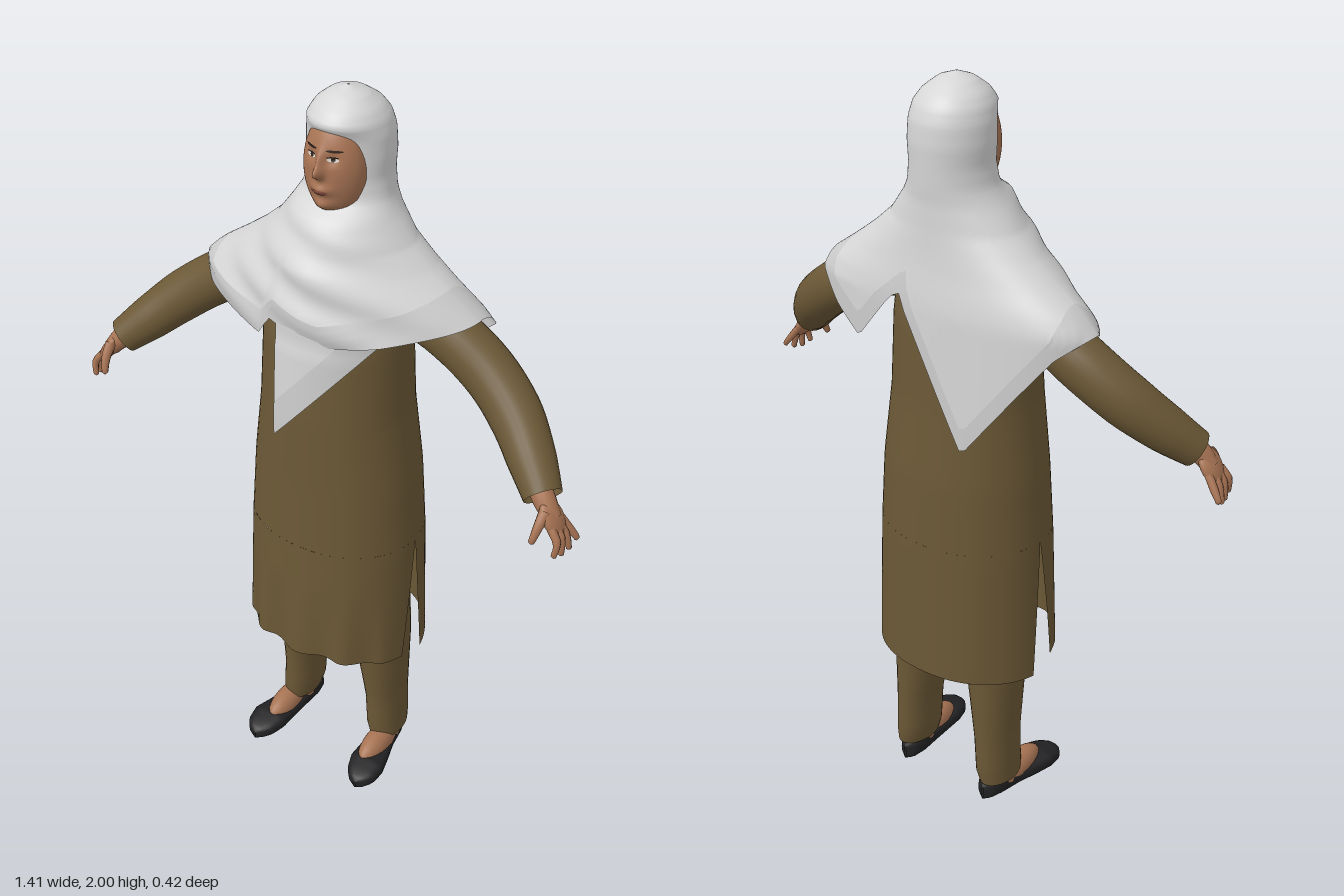
import * as THREE from 'three';

const paint = (name, color) => {
  const m = new THREE.MeshStandardMaterial({ color, side: THREE.DoubleSide });
  m.name = name;
  return m;
};

// Grid surface from a rule fn(u, v) -> [x, y, z]; closed joins the u ends
function grid(fn, nu, nv, closed = false) {
  const pos = [], idx = [], cols = closed ? nu : nu + 1;
  for (let j = 0; j <= nv; j++)
    for (let i = 0; i < cols; i++) pos.push(...fn(i / nu, j / nv));
  for (let j = 0; j < nv; j++)
    for (let i = 0; i < nu; i++) {
      const a = j * cols + i, b = j * cols + (i + 1) % cols;
      idx.push(a, a + cols, b, b, a + cols, b + cols);
    }
  const g = new THREE.BufferGeometry();
  g.setAttribute('position', new THREE.Float32BufferAttribute(pos, 3));
  g.setIndex(idx);
  g.computeVertexNormals();
  return g;
}

// Linear lookup of column k in a table sorted by its rising first column
function look(table, t, k = 1) {
  if (t <= table[0][0]) return table[0][k];
  for (let i = 1; i < table.length; i++) {
    const a = table[i - 1], b = table[i];
    if (t <= b[0]) return a[k] + (b[k] - a[k]) * (t - a[0]) / (b[0] - a[0]);
  }
  return table[table.length - 1][k];
}

// Round limb along a smooth path with varying radius
function limb(points, radii, seg = 16, sides = 16) {
  const curve = new THREE.CatmullRomCurve3(points.map(p => new THREE.Vector3(...p)));
  const f = curve.computeFrenetFrames(seg);
  const table = radii.map((r, i) => [i / (radii.length - 1), r]);
  return grid((u, v) => {
    const i = Math.round(v * seg), a = -u * Math.PI * 2, r = look(table, v);
    return curve.getPoint(v).addScaledVector(f.normals[i], r * Math.cos(a))
      .addScaledVector(f.binormals[i], r * Math.sin(a)).toArray();
  }, sides, seg, true);
}

// Gown sections: y, half width, front z, back z
const GOWN = [[0.42, 0.247, 0.215, -0.21], [0.8, 0.236, 0.19, -0.2], [1, 0.222, 0.18, -0.193],
  [1.2, 0.197, 0.174, -0.174], [1.4, 0.188, 0.16, -0.165], [1.5, 0.18, 0.13, -0.145],
  [1.57, 0.13, 0.09, -0.12], [1.64, 0.05, 0.03, -0.07]];
function gownPoint(a, y) {
  const rx = look(GOWN, y, 1), zf = look(GOWN, y, 2), zb = look(GOWN, y, 3);
  const c = Math.cos(a), s = Math.sin(a);
  const low = Math.max(0, (0.7 - y) / 0.28);
  const fold = s > 0 ? 0.012 * low * s * (Math.cos(a * 12) - 1) : 0;
  return [rx * Math.sign(c) * Math.abs(c) ** 0.9, y, s * (s > 0 ? zf : -zb) + fold];
}

// Scarf sections: y, half width, middle z, front z, back z, front and back roundness
const SCARF = [[1.1, 0.41, -0.04, 0.172, -0.183, 1.5, 2.4], [1.46, 0.41, -0.04, 0.172, -0.178, 1.5, 2.4],
  [1.5, 0.37, -0.04, 0.167, -0.173, 1.5, 2.4], [1.55, 0.3, -0.04, 0.157, -0.165, 1.6, 2.3],
  [1.6, 0.235, -0.04, 0.145, -0.16, 1.7, 2.2], [1.65, 0.18, -0.04, 0.125, -0.157, 1.8, 2],
  [1.715, 0.132, -0.04, 0.088, -0.155, 2, 2], [1.75, 0.112, -0.045, 0.04, -0.158, 2, 2],
  [1.8, 0.104, -0.05, 0.035, -0.16, 2, 2], [1.85, 0.107, -0.05, 0.035, -0.162, 2, 2],
  [1.9, 0.104, -0.05, 0.04, -0.158, 2, 2], [1.935, 0.094, -0.05, 0.06, -0.145, 2, 2],
  [1.96, 0.077, -0.045, 0.04, -0.125, 2, 2], [1.985, 0.046, -0.04, 0.004, -0.088, 2, 2],
  [2, 0.002, -0.04, -0.038, -0.042, 2, 2]];
function scarfPoint(a, y) {
  const [rx, zc, zf, zb, nf, nb] = [1, 2, 3, 4, 5, 6].map(k => look(SCARF, y, k));
  const c = Math.cos(a), s = Math.sin(a), e = 2 / (s > 0 ? nf : nb);
  const x = rx * Math.sign(c) * Math.abs(c) ** e;
  const drape = y < 1.74 && s > 0 ? 0.006 * s * Math.sin(y * 60 + x * 14) * Math.min(1, (1.74 - y) * 15) : 0;
  return [x, y, zc + Math.sign(s) * Math.abs(s) ** e * (s > 0 ? zf - zc : zc - zb) + drape];
}

// Hem height of the scarf by x, in front and behind
const HEM_FRONT = [[-0.41, 1.46], [-0.36, 1.41], [-0.13, 1.405], [-0.1, 1.455], [0.05, 1.43], [0.41, 1.505]];
const HEM_BACK = [[-0.41, 1.46], [-0.35, 1.41], [-0.12, 1.11], [0.08, 1.49], [0.21, 1.33], [0.3, 1.39], [0.41, 1.505]];
const hem = a => look(Math.sin(a) >= 0 ? HEM_FRONT : HEM_BACK, scarfPoint(a, 1.2)[0]);

// Face relief: depth of the skin at (x, y)
const bump = (x, y, cx, cy, sx, sy) => Math.exp(-(((x - cx) / sx) ** 2) - ((y - cy) / sy) ** 2);
function faceZ(x, y) {
  const d = Math.min(1, (x / 0.08) ** 2 + ((y - 1.825) / 0.13) ** 2);
  return 0.078 * Math.sqrt(1 - d) + 0.026 * bump(x, y, 0, 1.835, 0.011, 0.015)
    + 0.012 * bump(x, y, 0, 1.862, 0.009, 0.022) + 0.012 * bump(x, y, 0, 1.79, 0.025, 0.013)
    + 0.016 * bump(x, y, 0, 1.75, 0.025, 0.017)
    - 0.008 * (bump(x, y, 0.028, 1.866, 0.015, 0.011) + bump(x, y, -0.028, 1.866, 0.015, 0.011));
}
const facePatch = (cx, cy, rx, ry, lift, n = 20) => grid((u, v) => {
  const a = -u * Math.PI * 2, x = cx + rx * v * Math.cos(a), y = cy + ry * v * Math.sin(a);
  return [x, y, faceZ(x, y) + lift];
}, n, Math.max(3, n / 2), true);

export function createModel() {
  const root = new THREE.Group();
  const cloth = paint('olive brown cloth', 0x6b5836), white = paint('scarf white', 0xd6d6d6);
  const edge = paint('scarf trim', 0xcbcbcb), skin = paint('skin', 0xa87454);
  const black = paint('shoe black', 0x222224), lip = paint('lips', 0x8c5142);
  const eye = paint('eye white', 0xd8d4cc), dark = paint('brow and iris', 0x2e2018);
  const add = (name, geo, mat, parent = root) => {
    const m = new THREE.Mesh(geo, mat);
    m.name = name;
    parent.add(m);
    return m;
  };
  const TAU = Math.PI * 2;

  // Gown: closed body above the side slits, two panels below
  add('gownBody', grid((u, v) => gownPoint(u * TAU, 0.82 + 0.82 * v), 64, 30, true), cloth);
  add('gownFrontPanel', grid((u, v) => {
    const a0 = 0.28 * (1 - v), a = a0 + u * (Math.PI - 2 * a0);
    const low = 0.435 + 0.03 * Math.sin(a);
    return gownPoint(a, low + (0.82 - low) * v);
  }, 60, 16), cloth);
  add('gownBackPanel', grid((u, v) => {
    const a0 = 0.14 * (1 - v), a = Math.PI + a0 + u * (Math.PI - 2 * a0);
    const low = 0.42 - 0.015 * Math.sin(a);
    return gownPoint(a, low + (0.82 - low) * v);
  }, 40, 16), cloth);

  // Hood and shoulder cape in one cloth, then its hem band
  const trimTop = a => hem(a) + 0.06;
  add('headScarf', grid((u, v) => {
    const a = u * TAU, w = 1 - v;
    const y = w < 0.5 ? 2 - 0.3 * (w * 2) ** 1.5 : 1.7 + (trimTop(a) - 1.7) * (w * 2 - 1);
    return scarfPoint(a, y);
  }, 144, 60, true), white);
  add('scarfTrim', grid((u, v) => scarfPoint(u * TAU, hem(u * TAU) + 0.06 * v), 144, 4, true), edge);

  // Hanging scarf point on the chest with a trimmed slanting side
  const chest = (x, y) => [x, y, 0.014 + look(GOWN, Math.min(y, 1.42), 2) * Math.sqrt(Math.max(0.05, 1 - (x / 0.2) ** 2))];
  const right = y => -0.075 + (y - 1.14) * 0.83, inner = y => Math.max(-0.075, right(y) - 0.08);
  const pointY = v => 1.14 + 0.32 * v;
  add('scarfPoint', grid((u, v) => {
    const y = pointY(v);
    return chest(-0.075 + (inner(y) + 0.075) * u, y);
  }, 10, 20), white);
  add('scarfPointTrim', grid((u, v) => {
    const y = pointY(v);
    return chest(inner(y) + (right(y) - inner(y)) * u, y);
  }, 6, 20), edge);

  // Face
  add('face', facePatch(0, 1.825, 0.08, 0.13, 0, 48), skin);
  add('lips', facePatch(0, 1.787, 0.021, 0.007, 0.002), lip);
  for (const s of [1, -1]) {
    add('eye', facePatch(s * 0.028, 1.866, 0.013, 0.0055, 0.002), eye);
    add('iris', facePatch(s * 0.028, 1.866, 0.0052, 0.0052, 0.003), dark);
    add('eyelid', facePatch(s * 0.028, 1.8715, 0.014, 0.002, 0.0035), dark);
    add('eyebrow', facePatch(s * 0.03, 1.886, 0.018, 0.0028, 0.002), dark);
  }

  // Arms, legs and feet, built on the +x side and mirrored
  for (const s of [1, -1]) {
    const side = new THREE.Group();
    side.name = s > 0 ? 'leftLimbs' : 'rightLimbs';
    side.scale.x = s;
    root.add(side);

    add('sleeve', limb([[0.1, 1.5, -0.045], [0.25, 1.455, -0.05], [0.385, 1.378, -0.045], [0.485, 1.303, -0.012],
      [0.56, 1.235, 0.04], [0.615, 1.185, 0.085]], [0.07, 0.068, 0.068, 0.066, 0.058, 0.047], 24, 24), cloth, side);

    // Hand
    add('wrist', limb([[0.59, 1.21, 0.07], [0.625, 1.175, 0.09], [0.65, 1.145, 0.097]], [0.03, 0.027, 0.022], 6), skin, side);
    const palm = add('palm', new THREE.SphereGeometry(1, 20, 14), skin, side);
    palm.scale.set(0.018, 0.05, 0.037);
    palm.position.set(0.65, 1.147, 0.098);
    palm.rotation.z = 0.57;
    for (let i = 0; i < 4; i++) {
      const z = 0.073 + i * 0.017, drop = [0.018, 0.004, 0, 0.008][i], out = 0.7 - i * 0.007;
      add('finger', limb([[0.66, 1.135, z], [0.682, 1.105, z + (i - 1.5) * 0.005],
        [out, 1.062 + drop, z + (i - 1.5) * 0.009], [out, 1.057 + drop, z + (i - 1.5) * 0.009]],
      [0.0105, 0.01, 0.007, 0.001], 9, 8), skin, side);
    }
    add('thumb', limb([[0.637, 1.17, 0.115], [0.635, 1.14, 0.142], [0.629, 1.105, 0.158], [0.628, 1.1, 0.16]],
      [0.015, 0.012, 0.008, 0.001], 9, 8), skin, side);

    // Trouser leg sections: y, x, z, half width, half depth
    const LEG = [[0.055, 0.147, -0.04, 0.045, 0.073], [0.09, 0.142, -0.042, 0.05, 0.078], [0.2, 0.137, -0.042, 0.052, 0.079],
      [0.42, 0.124, -0.033, 0.073, 0.094], [0.6, 0.112, -0.02, 0.082, 0.1], [0.9, 0.1, -0.01, 0.09, 0.1]];
    add('trouserLeg', grid((u, v) => {
      const y = 0.055 + 0.845 * v, [x, z, w, d] = [1, 2, 3, 4].map(k => look(LEG, y, k));
      return [x + w * Math.cos(u * TAU), y, z + d * Math.sin(u * TAU)];
    }, 28, 24, true), cloth, side);

    // Foot and flat shoe; shoe sections: z, x, half width, height
    const foot = add('foot', new THREE.SphereGeometry(1, 20, 14), skin, side);
    foot.scale.set(0.036, 0.042, 0.085);
    foot.position.set(0.155, 0.04, 0.035);
    add('ankle', limb([[0.147, 0.03, -0.03], [0.147, 0.13, -0.035]], [0.037, 0.04], 4), skin, side);
    const SHOE = [[-0.112, 0.14, 0.003, 0.04], [-0.1, 0.14, 0.026, 0.058], [-0.06, 0.143, 0.037, 0.06],
      [0, 0.15, 0.038, 0.045], [0.06, 0.16, 0.046, 0.046], [0.11, 0.167, 0.052, 0.052],
      [0.15, 0.171, 0.043, 0.042], [0.172, 0.172, 0.026, 0.034], [0.182, 0.172, 0.003, 0.022]];
    add('shoe', grid((u, v) => {
      const z = -0.112 + 0.294 * v, [x, w, h] = [1, 2, 3].map(k => look(SHOE, z, k));
      const a = -u * TAU, c = Math.cos(a), n = Math.sin(a);
      return [x + w * Math.sign(c) * Math.abs(c) ** 0.7, h * (0.5 + 0.5 * Math.sign(n) * Math.abs(n) ** 0.7), z];
    }, 24, 32, true), black, side);
  }
  return root;
}
